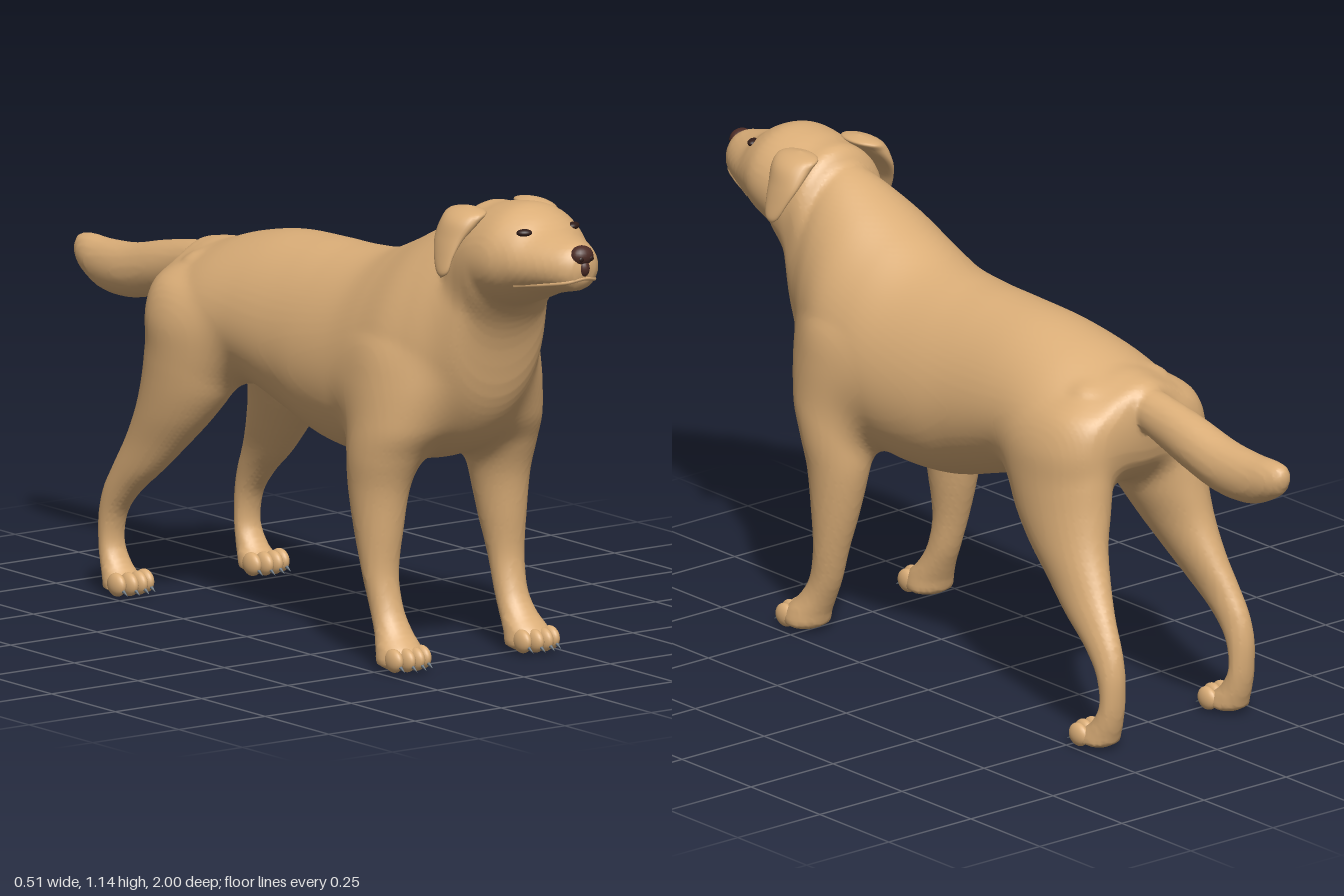
import * as THREE from 'three';

const material = (name, color) => {
  const m = new THREE.MeshStandardMaterial({ color });
  m.name = name;
  return m;
};

// Smooth in-between sections. Each row: [t, lowA, highA, lowB, highB]
function sections(rows, steps) {
  const last = rows.length - 1, out = [];
  const row = i => rows[Math.min(Math.max(i, 0), last)];
  for (let r = 0; r <= last * steps; r++) {
    const i = Math.min(Math.floor(r / steps), last - 1), f = r / steps - i;
    out.push(row(i).map((p1, c) => {
      const p0 = row(i - 1)[c], p2 = row(i + 1)[c], p3 = row(i + 2)[c];
      return p1 + 0.5 * f * (p2 - p0 + f * (2 * p0 - 5 * p1 + 4 * p2 - p3 + f * (3 * (p1 - p2) + p3 - p0)));
    }));
  }
  return out;
}

// Approximate distance to a solid of oval sections; k narrows sections toward high A
function solid(rows, k = 0) {
  const N = 400, s = sections(rows, 12).sort((p, q) => p[0] - q[0]);
  const t0 = s[0][0], t1 = s[s.length - 1][0], table = [];
  for (let n = 0, i = 0; n <= N; n++) {
    const t = t0 + (t1 - t0) * n / N;
    while (i < s.length - 2 && s[i + 1][0] < t) i++;
    const f = Math.min(1, (t - s[i][0]) / Math.max(s[i + 1][0] - s[i][0], 1e-6));
    const [, a0, a1, b0, b1] = s[i].map((v, c) => v + (s[i + 1][c] - v) * f);
    table.push([(a0 + a1) / 2, Math.max((a1 - a0) / 2, 0.002), (b0 + b1) / 2, Math.max((b1 - b0) / 2, 0.002)]);
  }
  return (t, a, b) => {
    const c = Math.min(Math.max((t - t0) / (t1 - t0), 0), 1) * N;
    const i = Math.min(Math.floor(c), N - 1), f = c - i, p = table[i], q = table[i + 1];
    const ra = p[1] + (q[1] - p[1]) * f, rb = p[3] + (q[3] - p[3]) * f;
    const u = (a - p[0] - (q[0] - p[0]) * f) / ra;
    const v = (b - p[2] - (q[2] - p[2]) * f) / rb / (1 - k * Math.min(Math.max(u, -1), 1));
    const d = (Math.sqrt(u * u + v * v) - 1) * Math.min(ra, rb);
    const over = Math.max(t0 - t, t - t1, 0);
    return over > 0 ? Math.sqrt(Math.max(d, 0) ** 2 + over * over) : d;
  };
}

// One continuous skin where field(x, y, z) = 0, on a grid of step h
function skin(field, min, size, h) {
  const stride = [1, size[0], size[0] * size[1]];
  const values = new Float32Array(stride[2] * size[2]), ids = new Int32Array(values.length);
  const pos = [], index = [];
  const each = (from, to, fn) => {
    for (let k = from; k < size[2] - to; k++)
      for (let j = from; j < size[1] - to; j++)
        for (let i = from; i < size[0] - to; i++) fn(i + j * stride[1] + k * stride[2], i, j, k);
  };
  each(0, 0, (n, i, j, k) => { values[n] = field(min[0] + i * h, min[1] + j * h, min[2] + k * h); });
  const corners = [...Array(8).keys()].map(a => [a & 1, (a >> 1) & 1, a >> 2]);
  const offsets = corners.map(c => c[0] + c[1] * stride[1] + c[2] * stride[2]);
  each(0, 1, (n, ...cell) => {
    const inside = offsets.filter(o => values[n + o] < 0).length;
    if (inside === 0 || inside === 8) return;
    const sum = [0, 0, 0];
    let count = 0;
    corners.forEach((c, a) => c.forEach((bit, d) => {
      const va = values[n + offsets[a]], vb = values[n + offsets[a] + stride[d]];
      if (bit || va < 0 === vb < 0) return;
      c.forEach((v, e) => { sum[e] += v + (e === d ? va / (va - vb) : 0); });
      count++;
    }));
    ids[n] = pos.length / 3;
    pos.push(...sum.map((v, e) => min[e] + h * (cell[e] + v / count)));
  });
  each(1, 1, n => stride.forEach((s, d) => {
    const inside = values[n] < 0;
    if (inside === values[n + s] < 0) return;
    const u = stride[(d + 1) % 3], v = stride[(d + 2) % 3];
    const [a, b, c, e] = [n - u - v, n - v, n, n - u].map(m => ids[m]);
    index.push(...(inside ? [a, b, c, a, c, e] : [a, c, b, a, e, c]));
  }));
  return surface(pos, index);
}

function surface(pos, index) {
  const g = new THREE.BufferGeometry();
  g.setAttribute('position', new THREE.Float32BufferAttribute(pos, 3));
  g.setIndex(index);
  g.computeVertexNormals();
  return g;
}

// Ear flap from sections stacked top to bottom
function flap(rows, side, seg = 24) {
  const pos = [], index = [];
  sections(rows, 6).forEach(([y, z0, z1, x0, x1], r) => {
    for (let j = 0; j < seg; j++) {
      const w = (j / seg) * Math.PI * 2, p = r * seg + j, q = r * seg + (j + 1) % seg;
      pos.push(side * ((x0 + x1) / 2 + (x1 - x0) / 2 * Math.cos(w)), y,
        (z0 + z1) / 2 + side * (z1 - z0) / 2 * Math.sin(w));
      if (r > 0) index.push(p - seg, q - seg, p, q - seg, q, p);
    }
  });
  return surface(pos, index);
}

// Rows [z, bottom, top, half width], back to front
const BODY = [
  [-0.515, 0.76, 0.76, 0], [-0.5, 0.66, 0.822, 0.125], [-0.45, 0.6, 0.842, 0.18],
  [-0.38, 0.565, 0.861, 0.203], [-0.28, 0.55, 0.892, 0.21], [-0.15, 0.535, 0.917, 0.202],
  [0, 0.488, 0.925, 0.204], [0.12, 0.454, 0.928, 0.214], [0.25, 0.446, 0.942, 0.222],
  [0.36, 0.46, 0.983, 0.225], [0.46, 0.48, 1.03, 0.22], [0.54, 0.515, 1.066, 0.19],
  [0.6, 0.57, 1.085, 0.158], [0.645, 0.65, 1.085, 0.138], [0.68, 0.785, 1.07, 0.122],
  [0.72, 0.87, 1.04, 0.1], [0.76, 0.95, 0.95, 0]];
const TAIL = [
  [-1, 0.74, 0.74, 0], [-0.99, 0.705, 0.765, 0.022], [-0.95, 0.675, 0.771, 0.04],
  [-0.88, 0.648, 0.77, 0.05], [-0.78, 0.647, 0.778, 0.056], [-0.67, 0.673, 0.803, 0.055],
  [-0.58, 0.7, 0.82, 0.05], [-0.5, 0.725, 0.83, 0.048], [-0.42, 0.73, 0.83, 0.045], [-0.36, 0.78, 0.78, 0]];
const HEAD = [
  [0.58, 1, 1, 0], [0.61, 0.9, 1.1, 0.11], [0.66, 0.87, 1.12, 0.134], [0.72, 0.88, 1.133, 0.143],
  [0.78, 0.9, 1.137, 0.14], [0.83, 0.919, 1.12, 0.122], [0.87, 0.935, 1.094, 0.105],
  [0.92, 0.949, 1.08, 0.083], [0.955, 0.957, 1.072, 0.064], [0.975, 0.965, 1.062, 0.048],
  [0.987, 0.985, 1.045, 0.03], [0.992, 1.015, 1.015, 0]];

// Rows [y, zBack, zFront, xInner, xOuter], top to bottom
const EAR = [
  [1.122, 0.655, 0.655, 0.09, 0.09], [1.112, 0.6, 0.712, 0.06, 0.125], [1.09, 0.597, 0.715, 0.08, 0.15],
  [1.05, 0.602, 0.7, 0.125, 0.164], [1.01, 0.62, 0.69, 0.152, 0.174],
  [0.975, 0.64, 0.682, 0.163, 0.18], [0.96, 0.66, 0.66, 0.175, 0.175]];
const FRONT_LEG = [
  [0.82, 0.43, 0.43, 0.13, 0.13], [0.77, 0.35, 0.52, 0.06, 0.2], [0.68, 0.31, 0.57, 0.05, 0.229],
  [0.58, 0.315, 0.565, 0.055, 0.246], [0.5, 0.328, 0.526, 0.08, 0.25], [0.42, 0.337, 0.496, 0.105, 0.243],
  [0.32, 0.36, 0.482, 0.122, 0.235], [0.22, 0.39, 0.475, 0.138, 0.226], [0.14, 0.415, 0.493, 0.14, 0.22],
  [0.09, 0.437, 0.525, 0.136, 0.226], [0.05, 0.455, 0.565, 0.13, 0.24],
  [0.015, 0.47, 0.565, 0.132, 0.24], [0.004, 0.52, 0.52, 0.186, 0.186]];
const HIND_LEG = [
  [0.81, -0.4, -0.4, 0.11, 0.11], [0.77, -0.475, -0.31, 0.05, 0.185], [0.7, -0.498, -0.23, 0.045, 0.222],
  [0.62, -0.503, -0.195, 0.045, 0.235], [0.54, -0.508, -0.22, 0.06, 0.237], [0.46, -0.522, -0.28, 0.09, 0.235],
  [0.38, -0.555, -0.36, 0.12, 0.23], [0.31, -0.592, -0.435, 0.145, 0.23], [0.25, -0.622, -0.51, 0.158, 0.23],
  [0.19, -0.634, -0.562, 0.163, 0.23], [0.12, -0.631, -0.577, 0.163, 0.23], [0.07, -0.622, -0.55, 0.158, 0.235],
  [0.04, -0.612, -0.515, 0.15, 0.242], [0.015, -0.6, -0.512, 0.152, 0.242], [0.004, -0.56, -0.56, 0.195, 0.195]];

export function createModel() {
  const model = new THREE.Group();
  model.name = 'dog';
  const fur = material('fur', 0xdbae78);
  const noseSkin = material('nose skin', 0x4c2c26);
  const dark = material('dark eye', 0x301c18);
  const clawGrey = material('claw grey', 0x66727c);

  const add = (name, geometry, mat, parent = model) => {
    const mesh = new THREE.Mesh(geometry, mat);
    mesh.name = name;
    parent.add(mesh);
    return mesh;
  };
  const ball = (name, mat, x, y, z, rx, ry, rz, parent) => {
    const mesh = add(name, new THREE.SphereGeometry(1, 20, 14), mat, parent);
    mesh.position.set(x, y, z);
    mesh.scale.set(rx, ry, rz);
    return mesh;
  };

  // Trunk, head, tail and legs flow into one skin, mirrored across x = 0
  const round = ([z, y0, y1, w]) => [z, y0, y1, -w, w];
  const lengthwise = [solid(BODY.map(round), 0.13), solid(HEAD.map(round), 0.04), solid(TAIL.map(round))];
  const upright = [solid(FRONT_LEG), solid(HIND_LEG)];
  const blend = (a, b) => Math.min(a, b) - Math.max(0.05 - Math.abs(a - b), 0) ** 2 / 0.2;
  const coat = (x, y, z) => {
    const m = Math.abs(x);
    let d = 1;
    for (const part of lengthwise) d = blend(d, part(z, y, m));
    for (const part of upright) d = blend(d, part(y, z, m));
    return d;
  };
  add('body', skin(coat, [-0.285, -0.02, -1.025], [58, 119, 206], 0.01), fur);

  // Upper lip along the muzzle
  const lip = [[0.093, 0.961, 0.838], [0.081, 0.966, 0.87], [0.065, 0.974, 0.92], [0.039, 0.984, 0.972]];
  const lipPath = [...lip, [0, 0.992, 0.986], ...lip.map(([x, y, z]) => [-x, y, z]).reverse()];
  add('upperLip', new THREE.TubeGeometry(
    new THREE.CatmullRomCurve3(lipPath.map(p => new THREE.Vector3(...p))), 48, 0.005, 8), fur);

  // Nose, narrow at the lip
  ball('nose', noseSkin, 0, 1.045, 0.976, 0.03, 0.024, 0.024);
  ball('noseBase', noseSkin, 0, 1.016, 0.983, 0.015, 0.021, 0.016);

  // Toes and claws of one paw
  const paw = (name, side, cx, z) => {
    const group = new THREE.Group();
    group.name = name;
    model.add(group);
    [-1.5, -0.5, 0.5, 1.5].forEach(n => {
      const x = side * cx + n * 0.027, tz = z - (Math.abs(n) > 1 ? 0.012 : 0);
      ball('toe', fur, x, 0.034, tz, 0.0165, 0.028, 0.031, group);
      const claw = add('claw', new THREE.ConeGeometry(0.008, 0.036, 8), clawGrey, group);
      claw.position.set(x, 0.021, tz + 0.028);
      claw.rotation.x = Math.PI / 2 + 0.5;
    });
  };

  // Paired parts
  for (const [label, side] of [['left', 1], ['right', -1]]) {
    add(label + 'Ear', flap(EAR, side), fur).material.side = THREE.FrontSide;
    paw(label + 'FrontPaw', side, 0.186, 0.558);
    paw(label + 'HindPaw', side, 0.196, -0.518);
    ball(label + 'Eye', dark, side * 0.071, 1.086, 0.848, 0.019, 0.009, 0.013).rotation.y = side * 0.5;
    ball(label + 'Nostril', dark, side * 0.014, 1.04, 0.996, 0.007, 0.006, 0.003);
  }
  return model;
}
